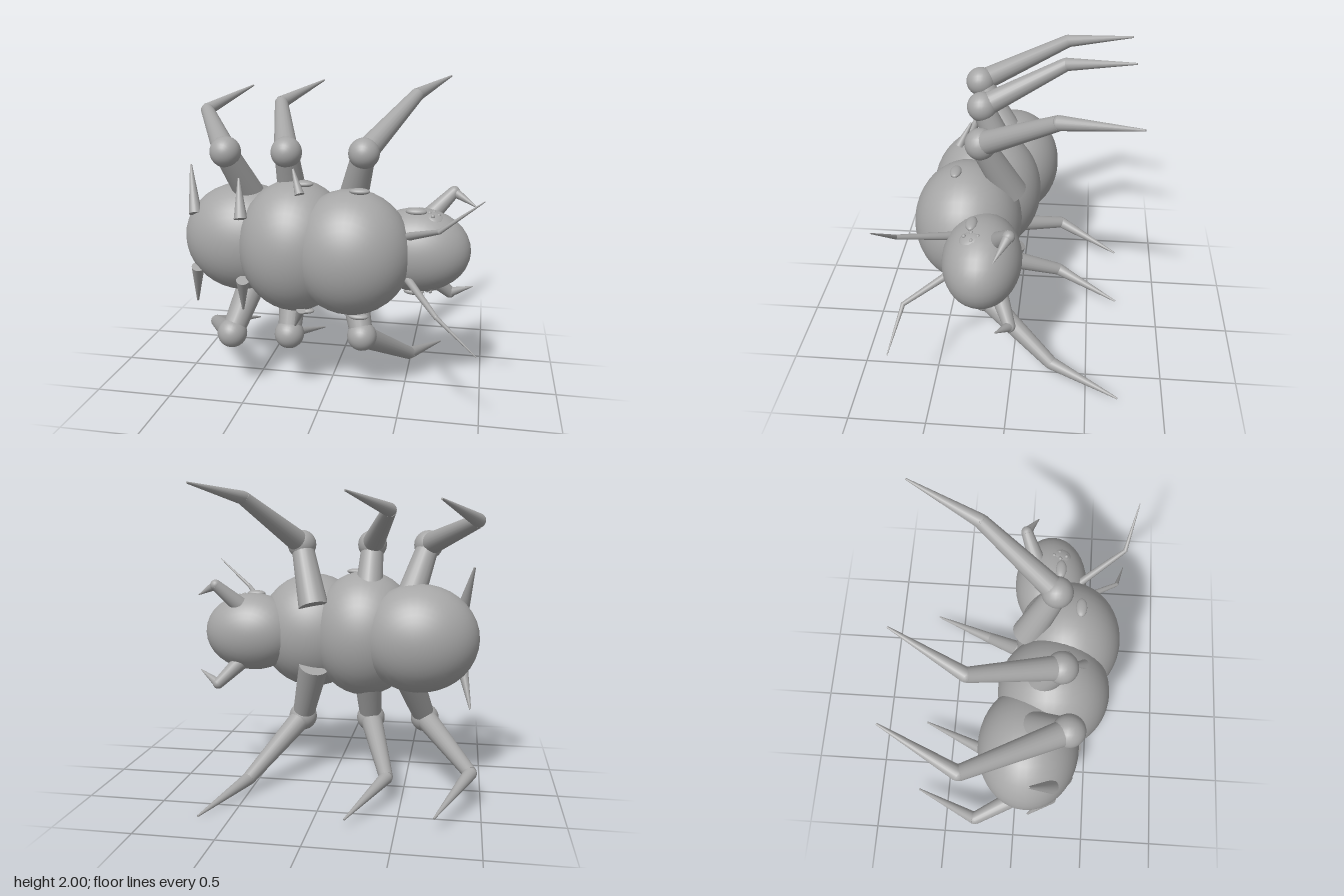
import * as THREE from 'three';

const shell = new THREE.MeshStandardMaterial({ color: 0xa6a6a6 });
shell.name = 'grey shell';

const V = (p) => new THREE.Vector3(...p);

// Ellipsoid given its centre and three radii
function ellipsoid(name, center, radii, segments = 32, tilt = [0, 0, 0]) {
  const geo = new THREE.SphereGeometry(1, segments, Math.ceil(segments * 0.6));
  geo.rotateX(Math.PI / 2).scale(...radii);
  const mesh = new THREE.Mesh(geo, shell);
  mesh.name = name;
  mesh.position.set(...center);
  mesh.rotation.set(...tilt);
  return mesh;
}

// Tapered limb running from point a (radius ra) to point b (radius rb)
function limb(name, a, b, ra, rb) {
  const from = V(a), to = V(b), dir = to.clone().sub(from);
  const mesh = new THREE.Mesh(new THREE.CylinderGeometry(rb, ra, dir.length(), 20), shell);
  mesh.name = name;
  mesh.position.copy(from).add(to).multiplyScalar(0.5);
  mesh.quaternion.setFromUnitVectors(new THREE.Vector3(0, 1, 0), dir.normalize());
  return mesh;
}

// Heights below are measured from the body axis; side is +1 (upper) or -1 (lower)
function buildSide(side) {
  const group = new THREE.Group();
  group.name = side > 0 ? 'upperSide' : 'lowerSide';
  const s = ([x, y, z]) => [x, y * side, z];

  // Legs: hip root, ball joint, knee, foot tip
  const legs = [
    ['rear', [-0.49, 0.2, 0.06], [-0.615, 0.6, 0.305], [-0.93, 0.78, -0.275], [-0.725, 0.908, -0.71]],
    ['middle', [-0.235, 0.2, 0.08], [-0.243, 0.6, 0.25], [-0.405, 0.84, -0.275], [-0.2, 0.953, -0.71]],
    ['front', [0.12, 0.2, 0.03], [0.23, 0.6, 0.2], [0.503, 0.91, -0.265], [0.7, 0.996, -0.71]],
  ];
  for (const [n, hip, ball, knee, tip] of legs) {
    const leg = new THREE.Group();
    leg.name = n + 'Leg';
    leg.add(
      limb('hip', s(hip), s(ball), 0.1, 0.073),
      ellipsoid('ballJoint', s(ball), [0.097, 0.097, 0.097], 24),
      limb('thigh', s(ball), s(knee), 0.076, 0.044),
      ellipsoid('knee', s(knee), [0.042, 0.042, 0.042], 16),
      limb('shin', s(knee), s(tip), 0.043, 0.006),
    );
    group.add(leg);
  }

  // Back spines
  const spines = [
    [[-0.855, 0.18, 0.24], [-0.922, 0.47, 0.1], 0.042],
    [[-0.505, 0.2, 0.39], [-0.54, 0.435, 0.29], 0.042],
    [[-0.13, 0.37, 0.39], [-0.187, 0.51, 0.315], 0.03],
  ];
  for (const [a, b, r] of spines) group.add(limb('spine', s(a), s(b), r, 0.007));

  // Breathing plates on the thorax
  group.add(ellipsoid('breathingPlate', s([-0.13, 0.415, 0.285]), [0.063, 0.02, 0.035], 20));
  group.add(ellipsoid('breathingPlate', s([0.23, 0.4, 0.358]), [0.063, 0.02, 0.035], 20));

  // Eye and a raised pad dotted with small beads
  group.add(ellipsoid('eye', s([0.56, 0.257, 0.223]), [0.065, 0.023, 0.035], 20));
  group.add(ellipsoid('eyePad', s([0.675, 0.222, 0.22]), [0.062, 0.024, 0.065], 20,
    [side * 0.25, 0, -side * 0.3]));
  for (const [x, y, z] of [[0.665, 0.246, 0.172], [0.696, 0.235, 0.208], [0.64, 0.25, 0.214], [0.663, 0.24, 0.254]])
    group.add(ellipsoid('eyeBead', s([x, y, z]), [0.013, 0.013, 0.013], 12));

  // Jaw: thick stub with a bent claw
  const jawRoot = s([0.64, 0.2, 0.06]), jawBend = s([0.775, 0.337, -0.015]);
  group.add(limb('jawStub', jawRoot, jawBend, 0.056, 0.037));
  group.add(ellipsoid('jawJoint', jawBend, [0.037, 0.037, 0.037], 16));
  group.add(limb('jawClaw', jawBend, s([0.92, 0.26, 0.058]), 0.033, 0.003));

  // Long feeler
  const elbow = s([0.723, 0.255, 0.637]);
  group.add(limb('feelerBase', s([0.52, 0.13, 0.34]), elbow, 0.026, 0.014));
  group.add(ellipsoid('feelerElbow', elbow, [0.014, 0.014, 0.014], 12));
  group.add(limb('feelerTip', elbow, s([0.963, 0.455, 0.703]), 0.014, 0.003));
  return group;
}

export function createModel() {
  const model = new THREE.Group();
  model.name = 'beetleCreature';
  model.position.y = 1;

  // Body segments along x
  model.add(
    ellipsoid('abdomen', [-0.575, 0, 0.08], [0.395, 0.36, 0.32], 36),
    ellipsoid('rearThorax', [-0.2, 0, 0.22], [0.365, 0.425, 0.36], 36),
    ellipsoid('frontThorax', [0.17, 0, 0.3], [0.38, 0.395, 0.34], 36),
    ellipsoid('head', [0.57, 0, 0.165], [0.33, 0.265, 0.24], 32),
  );

  // Mirrored limbs and details
  model.add(buildSide(1), buildSide(-1));

  const root = new THREE.Group();
  root.name = 'model';
  root.add(model);
  return root;
}
